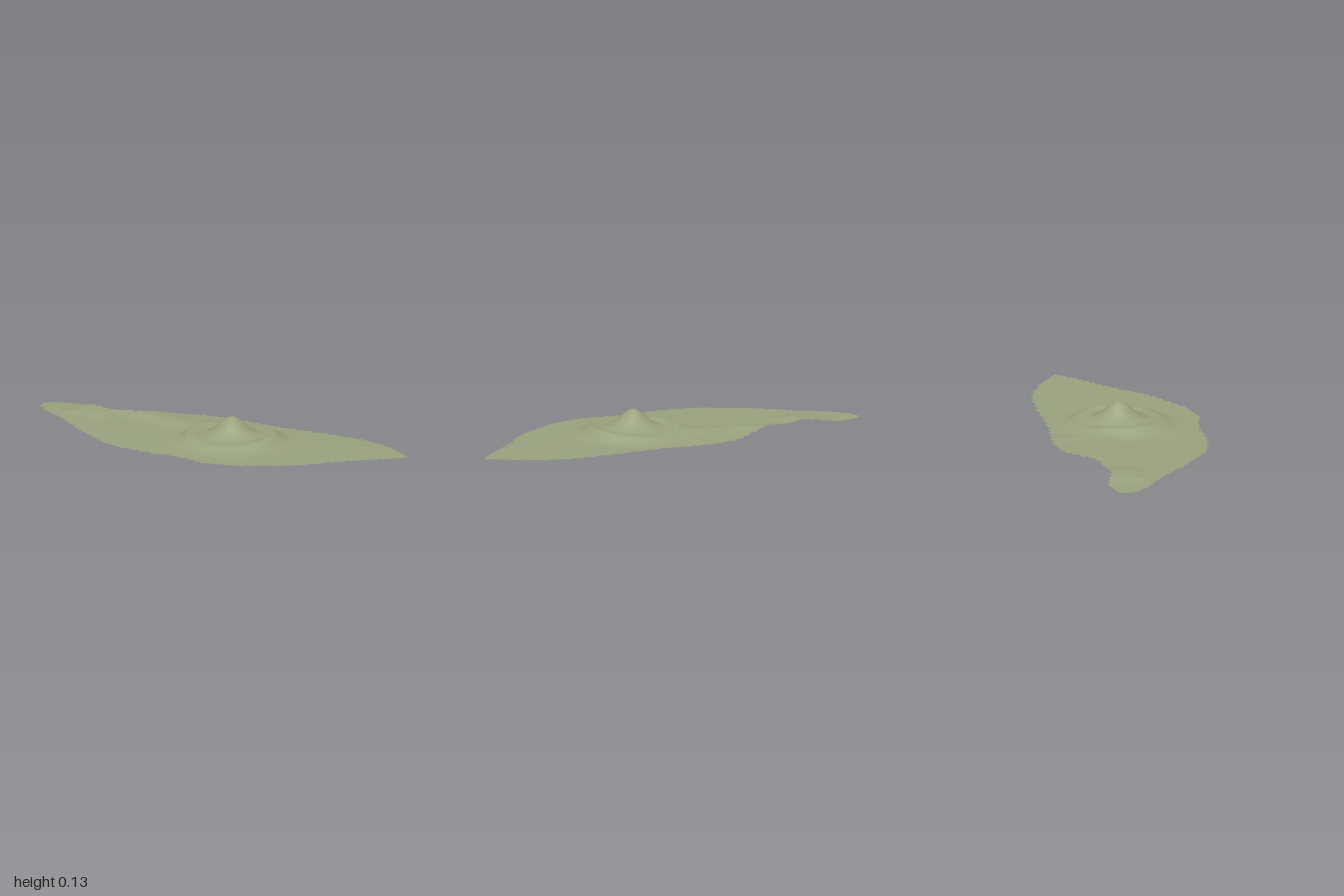
import * as THREE from 'three';

const CELL = 2 / 115, NX = 115, NZ = 49, Z0 = -0.426;

// shoreline, as x, z pairs
const shore = [
  [-0.96, -0.435], [-0.86, -0.432], [-0.78, -0.39], [-0.7, -0.35], [-0.6, -0.335], [-0.5, -0.33],
  [-0.4, -0.36], [-0.3, -0.39], [-0.2, -0.418], [-0.1, -0.413], [0, -0.385], [0.1, -0.35],
  [0.2, -0.32], [0.4, -0.28], [0.55, -0.25], [0.65, -0.22], [0.75, -0.18], [0.83, -0.125],
  [0.9, -0.07], [0.96, -0.01], [1.005, 0.03], [0.95, 0.08], [0.85, 0.14], [0.75, 0.19],
  [0.65, 0.25], [0.55, 0.32], [0.45, 0.365], [0.35, 0.395], [0.27, 0.423], [0.07, 0.423],
  [0, 0.385], [-0.1, 0.35], [-0.2, 0.335], [-0.3, 0.31], [-0.42, 0.27], [-0.5, 0.22],
  [-0.6, 0.13], [-0.7, 0.02], [-0.78, -0.08], [-0.85, -0.17], [-0.92, -0.23], [-0.97, -0.29],
  [-1.005, -0.34], [-1.005, -0.385],
];

function inside(x, z) {
  let hit = false;
  shore.forEach(([ax, az], i) => {
    const [bx, bz] = shore[(i + 1) % shore.length];
    if ((az > z) !== (bz > z) && x < ax + (bx - ax) * (z - az) / (bz - az)) hit = !hit;
  });
  return hit;
}

const bell = (d, width) => Math.exp(-(d * d) / (width * width));
const hill = (x, z, cx, cz, w) => bell(Math.hypot(x - cx, z - cz), w);

function height(x, z) {
  // low ground sinking towards the shore
  let y = 0.003 + 0.008 * bell(z, 0.33);
  // central cone on a round terrace with a raised rim
  const dx = x - 0.09, dz = z - 0.005, r = Math.hypot(dx, dz);
  const cos2 = r > 0 ? (dx * dx - dz * dz) / (r * r) : 0;
  y += 0.095 * bell(r, 0.088);
  y += 0.026 / (1 + Math.exp((r - 0.25) / 0.018));
  y += (0.012 + 0.009 * cos2) * bell(r - 0.205, 0.03);
  // ridge from the terrace to the far corner, steeper on its front side
  const ux = -0.894, uz = -0.447;
  const along = dx * ux + dz * uz, across = dx * uz - dz * ux;
  const ends = THREE.MathUtils.smoothstep(along, 0.16, 0.26) * (1 - THREE.MathUtils.smoothstep(along, 0.6, 0.95));
  y += 0.02 * ends * bell(across + 0.04, across > -0.04 ? 0.06 : 0.13);
  // hills in the corner
  y += 0.02 * hill(x, z, -0.72, -0.35, 0.1);
  y += 0.012 * hill(x, z, -0.68, -0.25, 0.05);
  y += 0.008 * hill(x, z, -0.8, -0.27, 0.05);
  // slight knoll behind the cone
  y += 0.006 * hill(x, z, -0.03, -0.3, 0.06);
  return y;
}

export function createModel() {
  const positions = [], index = [], ids = new Map();
  const vertex = (i, j) => {
    const key = j * (NX + 1) + i;
    if (!ids.has(key)) {
      const x = -1 + i * CELL, z = Z0 + j * CELL;
      ids.set(key, positions.length / 3);
      positions.push(x, height(x, z), z);
    }
    return ids.get(key);
  };
  // keep the square cells that lie within the shoreline
  for (let j = 0; j < NZ; j++) {
    for (let i = 0; i < NX; i++) {
      if (!inside(-1 + (i + 0.5) * CELL, Z0 + (j + 0.5) * CELL)) continue;
      const a = vertex(i, j), b = vertex(i + 1, j), c = vertex(i + 1, j + 1), d = vertex(i, j + 1);
      index.push(a, d, b, b, d, c);
    }
  }
  const geometry = new THREE.BufferGeometry();
  geometry.setAttribute('position', new THREE.Float32BufferAttribute(positions, 3));
  geometry.setIndex(index);
  geometry.computeVertexNormals();
  geometry.computeBoundingBox();
  geometry.translate(0, -geometry.boundingBox.min.y, 0);

  const island = new THREE.Mesh(geometry, new THREE.MeshStandardMaterial({ color: 0x99a27e, side: THREE.DoubleSide }));
  island.name = 'islandTerrain';
  const group = new THREE.Group();
  group.name = 'island';
  group.add(island);
  return group;
}
